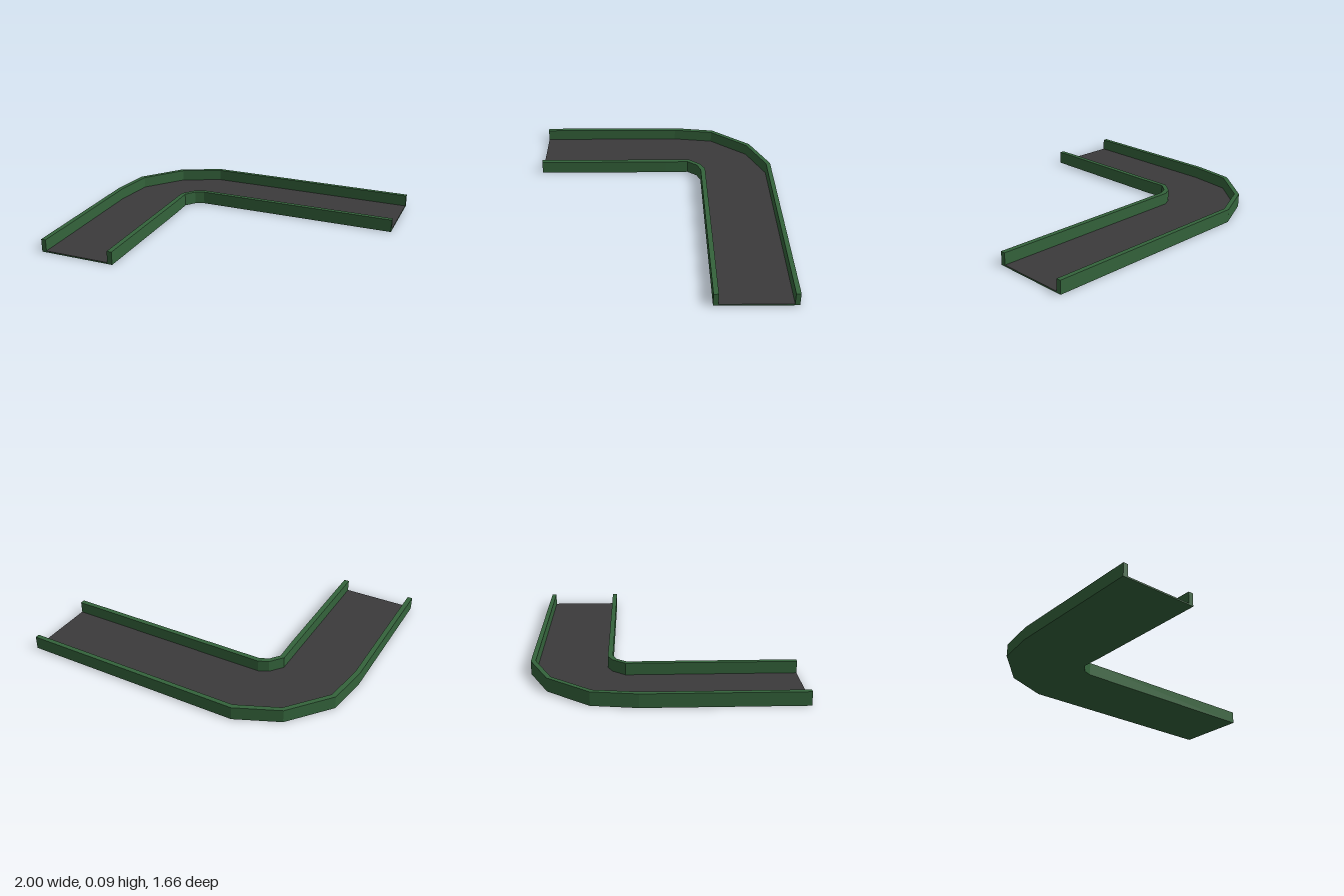
import * as THREE from 'three';

const WALL_HEIGHT = 0.087;
const FLOOR_HEIGHT = 0.008;

// Plan lines as [x, z], each running from the front end round the bend to the left end
const outerWallOutside = [[-1, 0.83], [-1, -0.16], [-0.96, -0.44], [-0.745, -0.705], [-0.465, -0.83], [1, -0.83]];
const outerWallInside = [[-0.968, 0.83], [-0.968, -0.15], [-0.93, -0.43], [-0.725, -0.682], [-0.458, -0.8], [1, -0.8]];
const innerWallInside = [[-0.522, 0.83], [-0.522, -0.24], [-0.457, -0.322], [-0.395, -0.352], [1, -0.352]];
const innerWallOutside = [[-0.488, 0.83], [-0.488, -0.07], [-0.492, -0.23], [-0.442, -0.295], [-0.382, -0.32], [1, -0.32]];

// Upright slab filling the band between two plan lines
function band(name, lineA, lineB, bottom, height, material) {
  const outline = [...lineA, ...[...lineB].reverse()];
  const shape = new THREE.Shape(outline.map(([x, z]) => new THREE.Vector2(x, -z)));
  const geometry = new THREE.ExtrudeGeometry(shape, { depth: height, bevelEnabled: false });
  geometry.rotateX(-Math.PI / 2);
  geometry.translate(0, bottom, 0);
  const mesh = new THREE.Mesh(geometry, material);
  mesh.name = name;
  return mesh;
}

export function createModel() {
  const green = new THREE.MeshStandardMaterial({ color: 0x34633b });
  green.name = 'green';
  const grey = new THREE.MeshStandardMaterial({ color: 0x3b3a3b });
  grey.name = 'dark grey';

  const model = new THREE.Group();
  model.name = 'curvedTrack';
  model.add(
    band('outerWall', outerWallOutside, outerWallInside, 0, WALL_HEIGHT, green),
    band('innerWall', innerWallInside, innerWallOutside, 0, WALL_HEIGHT, green),
    // Green base with a thin grey surface on top
    band('floorBase', outerWallInside, innerWallInside, 0, FLOOR_HEIGHT, green),
    band('roadSurface', outerWallInside, innerWallInside, FLOOR_HEIGHT, 0.002, grey),
  );
  return model;
}
